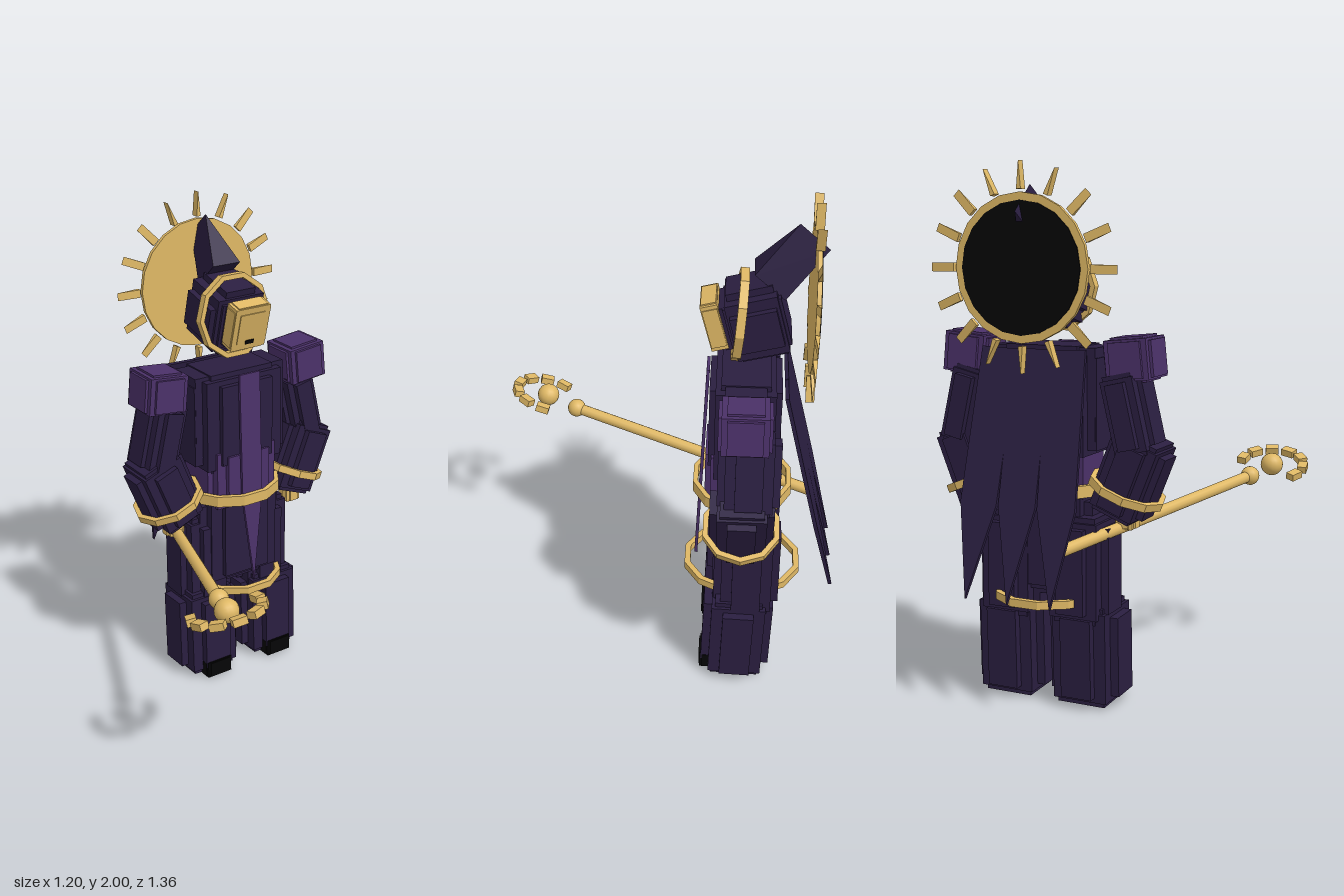
import * as THREE from 'three';
import { mergeGeometries } from 'three/addons/utils/BufferGeometryUtils.js';

const mat = (name, color) => Object.assign(new THREE.MeshStandardMaterial({ color }), { name });

export function createModel() {
  const robe = mat('dark robe', 0x2a1e40);
  const violet = mat('violet cloth', 0x4b3169);
  const gold = mat('gold', 0xdfb865);
  const black = mat('black', 0x050506);

  const root = new THREE.Group();
  root.name = 'robedFigure';
  const body = new THREE.Group();
  body.name = 'body';
  body.position.set(0.125, 0, -0.31);
  root.add(body);

  const add = (parent, name, geo, material, pos = [0, 0, 0], rot = [0, 0, 0]) => {
    const m = new THREE.Mesh(geo, material);
    m.name = name;
    m.position.set(...pos);
    m.rotation.set(...rot);
    parent.add(m);
    return m;
  };

  // Crossing boxes that approximate a rounded block; k is the flat share of each side
  const stepped = (w, h, d, k = 0.44) => {
    const m = (1 + k) / 2 + 0.05;
    return mergeGeometries([
      [1, 0.8, k], [k, 0.8, 1], [m, 0.9, m], [0.68, 1, 0.68],
    ].map(([a, b, c]) => new THREE.BoxGeometry(w * a, h * b, d * c)));
  };

  // Faceted band with a rectangular section
  const band = (rx, rz, h, t, n) => {
    const pts = [[1 - t, -h / 2], [1, -h / 2], [1, h / 2], [1 - t, h / 2], [1 - t, -h / 2]]
      .map(([x, y]) => new THREE.Vector2(x, y));
    const g = new THREE.LatheGeometry(pts, n, Math.PI / n).scale(rx, 1, rz).toNonIndexed();
    g.computeVertexNormals();
    return g;
  };

  // Outline extruded evenly about z = 0
  const plate = (points, depth) =>
    new THREE.ExtrudeGeometry(new THREE.Shape(points.map(p => new THREE.Vector2(...p))),
      { depth, bevelEnabled: false }).translate(0, 0, -depth / 2);
  const wedge = (w, h, d) => plate([[-w / 2, 0], [w / 2, 0], [0, h]], d);

  // Torso, waist and hips
  add(body, 'torso', stepped(0.43, 0.42, 0.265, 0.56), robe, [0, 1.14, 0]);
  add(body, 'chest', new THREE.BoxGeometry(0.42, 0.34, 0.15), robe, [0, 1.175, 0]);
  add(body, 'belly', stepped(0.33, 0.27, 0.285, 0.6), violet, [0, 0.9, 0]);
  add(body, 'hips', stepped(0.39, 0.4, 0.25, 0.55), robe, [0, 0.62, 0]);
  add(body, 'belt', band(0.214, 0.195, 0.045, 0.1, 12), gold, [0, 0.823, 0]);
  add(body, 'skirtBand', band(0.214, 0.238, 0.03, 0.1, 12), gold, [0, 0.418, -0.012]);

  // Pointed tabard
  add(body, 'tabard', plate([[-0.048, 0], [-0.048, -0.52], [0, -0.91], [0.048, -0.52], [0.048, 0]], 0.012),
    violet, [0, 1.35, 0.14], [-0.038, 0, 0]);

  // Three cape panels
  for (const s of [-1, 0, 1]) {
    add(body, 'capePanel', plate([[-0.075, 0], [-0.075, -0.57], [0, -0.916], [0.075, -0.57], [0.075, 0]], 0.014),
      robe, [s * 0.135, 1.34, -0.145], [0.237, 0, s * 0.04]);
  }

  // Arms and legs, mirrored
  for (const s of [-1, 1]) {
    const side = s > 0 ? 'left' : 'right';
    add(body, side + 'Shoulder', stepped(0.188, 0.165, 0.19, 0.66), violet, [s * 0.335, 1.307, 0], [0, 0, s * 0.1]);
    add(body, side + 'UpperArm', stepped(0.165, 0.3, 0.225), robe, [s * 0.335, 1.11, -0.02], [0, 0, s * 0.23]);
    const forearm = new THREE.Group();
    forearm.name = side + 'Forearm';
    forearm.position.set(s * 0.325, 0.88, 0);
    forearm.rotation.z = -s * 0.38;
    body.add(forearm);
    add(forearm, 'sleeve', stepped(0.225, 0.31, 0.235), robe);
    add(forearm, 'cuff', band(0.148, 0.148, 0.03, 0.14, 10), gold, [0, -0.06, 0]);
    add(body, side + 'Hand', stepped(0.085, 0.06, 0.075), gold, [s * 0.293, 0.705, 0.02]);

    add(body, side + 'Thigh', stepped(0.25, 0.4, 0.255), robe, [s * 0.142, 0.53, -0.03]);
    add(body, side + 'Leg', stepped(0.28, 0.38, 0.275), robe, [s * 0.155, 0.203, 0], [-0.03, 0, 0]);
    add(body, side + 'Foot', stepped(0.125, 0.08, 0.1, 0.75), black, [s * 0.155, 0.044, 0.1]);
  }

  // Hooded head, looking slightly down
  const head = new THREE.Group();
  head.name = 'head';
  head.position.set(0, 1.56, -0.03);
  head.rotation.x = 0.26;
  body.add(head);
  // The hood is rounded across x and y, so its stepped block lies along z
  add(head, 'hood', stepped(0.26, 0.21, 0.28, 0.52).rotateX(Math.PI / 2), robe);
  add(head, 'hoodFront', new THREE.BoxGeometry(0.15, 0.17, 0.09), robe, [0, 0.01, 0.085]);
  add(head, 'face', stepped(0.168, 0.07, 0.192, 0.8).rotateX(Math.PI / 2), gold, [0, 0.025, 0.15]);
  add(head, 'mouth', new THREE.BoxGeometry(0.038, 0.016, 0.008), black, [0, -0.033, 0.185]);
  add(body, 'hoodTrim', band(0.165, 0.172, 0.032, 0.12, 10), gold, [0, 1.56, 0.032], [Math.PI / 2 - 0.08, 0, 0]);
  add(body, 'hoodPeak', wedge(0.125, 0.225, 0.145), robe, [0, 1.705, -0.068], [-0.72, 0, 0]);

  // Halo disc with sixteen blade rays
  const halo = new THREE.Group();
  halo.name = 'halo';
  halo.position.set(0, 1.63, -0.228);
  body.add(halo);
  const disc = (r, t) => new THREE.CylinderGeometry(r, r, t, 20).rotateX(Math.PI / 2);
  add(halo, 'haloDisc', disc(0.264, 0.016), gold);
  add(halo, 'haloBack', disc(0.236, 0.006), black, [0, 0, -0.009]);
  for (let i = 0; i < 16; i++) {
    const a = i * Math.PI / 8;
    const pivot = new THREE.Group();
    pivot.name = 'haloRayPivot';
    pivot.rotation.z = a - Math.PI / 2;
    halo.add(pivot);
    const turned = Math.abs(Math.sin(a)) < 0.8; // upright rays stand edge-on
    add(pivot, 'haloRay', wedge(0.018, 0.098, 0.032), gold, [0, 0.273, 0], [0, turned ? Math.PI / 2 : 0, 0]);
  }

  // Staff with two balls and a broken ring of blocks
  const staff = new THREE.Group();
  staff.name = 'staff';
  root.add(staff);
  const tail = new THREE.Vector3(-0.04, 0.64, -0.62), tip = new THREE.Vector3(-0.4, 0.77, 0.4);
  const rod = add(staff, 'rod', new THREE.CylinderGeometry(0.023, 0.023, tail.distanceTo(tip), 12), gold,
    tail.clone().lerp(tip, 0.5).toArray());
  rod.quaternion.setFromUnitVectors(new THREE.Vector3(0, 1, 0), tip.clone().sub(tail).normalize());
  add(staff, 'smallBall', new THREE.SphereGeometry(0.038, 16, 12), gold, tip.toArray());
  const ring = new THREE.Group();
  ring.name = 'ring';
  ring.position.set(-0.45, 0.8, 0.527);
  ring.rotation.set(-0.28, 0, 0.1);
  staff.add(ring);
  add(ring, 'largeBall', new THREE.SphereGeometry(0.046, 16, 12), gold);
  for (let i = 0; i < 7; i++) {
    const a = 0.08 + i * 0.585;
    add(ring, 'ringBlock', new THREE.BoxGeometry(0.038, 0.028, 0.054), gold,
      [Math.cos(a) * 0.127, 0, Math.sin(a) * 0.134], [0, -a, 0]);
  }
  return root;
}
